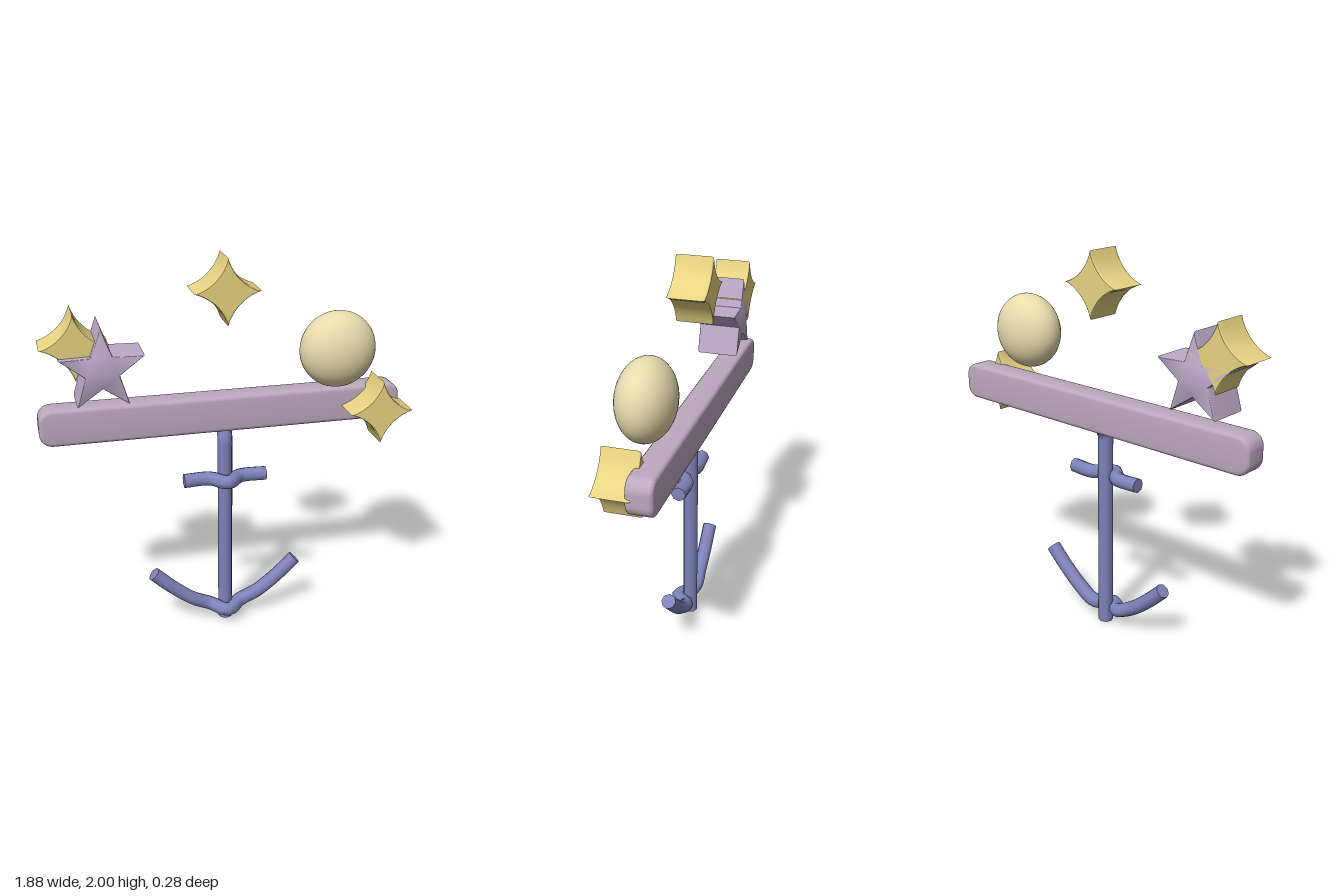
import * as THREE from 'three';
import { toCreasedNormals } from 'three/addons/utils/BufferGeometryUtils.js';

const mat = (color) => new THREE.MeshStandardMaterial({ color });
const gold = mat(0xe8d482), cream = mat(0xe8dcae), lilac = mat(0xbbaac9);
const mauve = mat(0xbca9be), blue = mat(0x8083bb);
const V = (x, y, z) => new THREE.Vector3(x, y, z);

// Thick plate with softened rims, spanning z0..z1, outline size kept
function plate(name, shape, z0, z1, bevel, rim, material) {
  const geo = new THREE.ExtrudeGeometry(shape, {
    depth: z1 - z0 - 2 * rim, bevelEnabled: true, bevelThickness: rim,
    bevelSize: bevel, bevelOffset: -bevel, bevelSegments: 3, curveSegments: 10,
  });
  geo.translate(0, 0, z0 + rim);
  const mesh = new THREE.Mesh(toCreasedNormals(geo, 0.7), material);
  mesh.name = name;
  return mesh;
}

// Four-pointed outline with concave sides
function sparkleShape(r, waist) {
  const s = new THREE.Shape();
  s.moveTo(r, 0);
  s.quadraticCurveTo(waist, waist, 0, r);
  s.quadraticCurveTo(-waist, waist, -r, 0);
  s.quadraticCurveTo(-waist, -waist, 0, -r);
  s.quadraticCurveTo(waist, -waist, r, 0);
  return s;
}

function starShape(outer, inner) {
  const pts = [];
  for (let i = 0; i < 10; i++) {
    const a = Math.PI / 2 + i * Math.PI / 5, r = i % 2 ? inner : outer;
    pts.push(new THREE.Vector2(r * Math.cos(a), r * Math.sin(a)));
  }
  return new THREE.Shape(pts);
}

function roundedRect(w, h, r) {
  const s = new THREE.Shape(), x = w / 2, y = h / 2;
  s.absarc(x - r, y - r, r, 0, Math.PI / 2);
  s.absarc(-x + r, y - r, r, Math.PI / 2, Math.PI);
  s.absarc(-x + r, -y + r, r, Math.PI, Math.PI * 1.5);
  s.absarc(x - r, -y + r, r, Math.PI * 1.5, Math.PI * 2);
  s.closePath();
  return s;
}

// Capped rod along a smooth path
function rod(name, points, radius, segments) {
  const group = new THREE.Group();
  group.name = name;
  const curve = new THREE.CatmullRomCurve3(points, false, 'centripetal');
  const tube = new THREE.TubeGeometry(curve, segments, radius, 8);
  group.add(new THREE.Mesh(tube, blue));
  for (const t of [0, 1]) {
    const cap = new THREE.Mesh(new THREE.CircleGeometry(radius, 8), blue);
    const out = curve.getTangent(t).multiplyScalar(t ? 1 : -1);
    cap.position.copy(curve.getPoint(t));
    cap.quaternion.setFromUnitVectors(V(0, 0, 1), out);
    group.add(cap);
  }
  return group;
}

export function createModel() {
  const model = new THREE.Group();
  model.name = 'nauticalHanger';

  // Horizontal beam
  const beam = plate('beam', roundedRect(1.86, 0.188, 0.065), -0.142, -0.012, 0.018, 0.018, mauve);
  beam.position.set(-0.01, 1.195, 0);
  model.add(beam);

  // Sparkles
  for (const [name, x, y, z0] of [
    ['topSparkle', -0.01, 1.835, -0.142],
    ['rightSparkle', -0.75, 1.612, -0.142],
    ['leftSparkle', 0.77, 1.192, -0.043],
  ]) {
    const sparkle = plate(name, sparkleShape(0.165, 0.04), z0, z0 + 0.185, 0.004, 0.014, gold);
    sparkle.position.set(x, y, 0);
    model.add(sparkle);
  }

  // Five-pointed star
  const star = plate('star', starShape(0.215, 0.088), -0.142, 0.073, 0.005, 0.014, lilac);
  star.position.set(-0.627, 1.5, 0);
  model.add(star);

  // Flattened ball
  const ball = new THREE.Mesh(new THREE.SphereGeometry(1, 40, 28), cream);
  ball.name = 'ball';
  ball.scale.set(0.196, 0.196, 0.138);
  ball.position.set(0.565, 1.504, 0);
  model.add(ball);

  // Anchor: shank bends back under the beam, the rods hop over its front
  const anchor = new THREE.Group();
  anchor.name = 'anchor';
  const z = -0.033, cx = -0.01, front = 0.034;
  anchor.add(rod('shank', [
    V(cx, 0, z), V(cx, 0.5, z), V(cx, 1.0, z), V(cx, 1.06, z), V(cx, 1.1, -0.055), V(cx, 1.13, -0.09),
  ], 0.039, 40));
  anchor.add(rod('crossbar', [
    V(cx - 0.217, 0.84, z), V(cx - 0.08, 0.84, z), V(cx, 0.84, front),
    V(cx + 0.08, 0.84, z), V(cx + 0.217, 0.84, z),
  ], 0.038, 32));
  const arm = [[0.39, 0.31], [0.29, 0.215], [0.18, 0.13], [0.08, 0.083]];
  anchor.add(rod('arms', [
    ...arm.map(([x, y]) => V(cx - x, y, z)), V(cx, 0.072, front),
    ...arm.map(([x, y]) => V(cx + x, y, z)).reverse(),
  ], 0.038, 48));
  model.add(anchor);

  return model;
}
